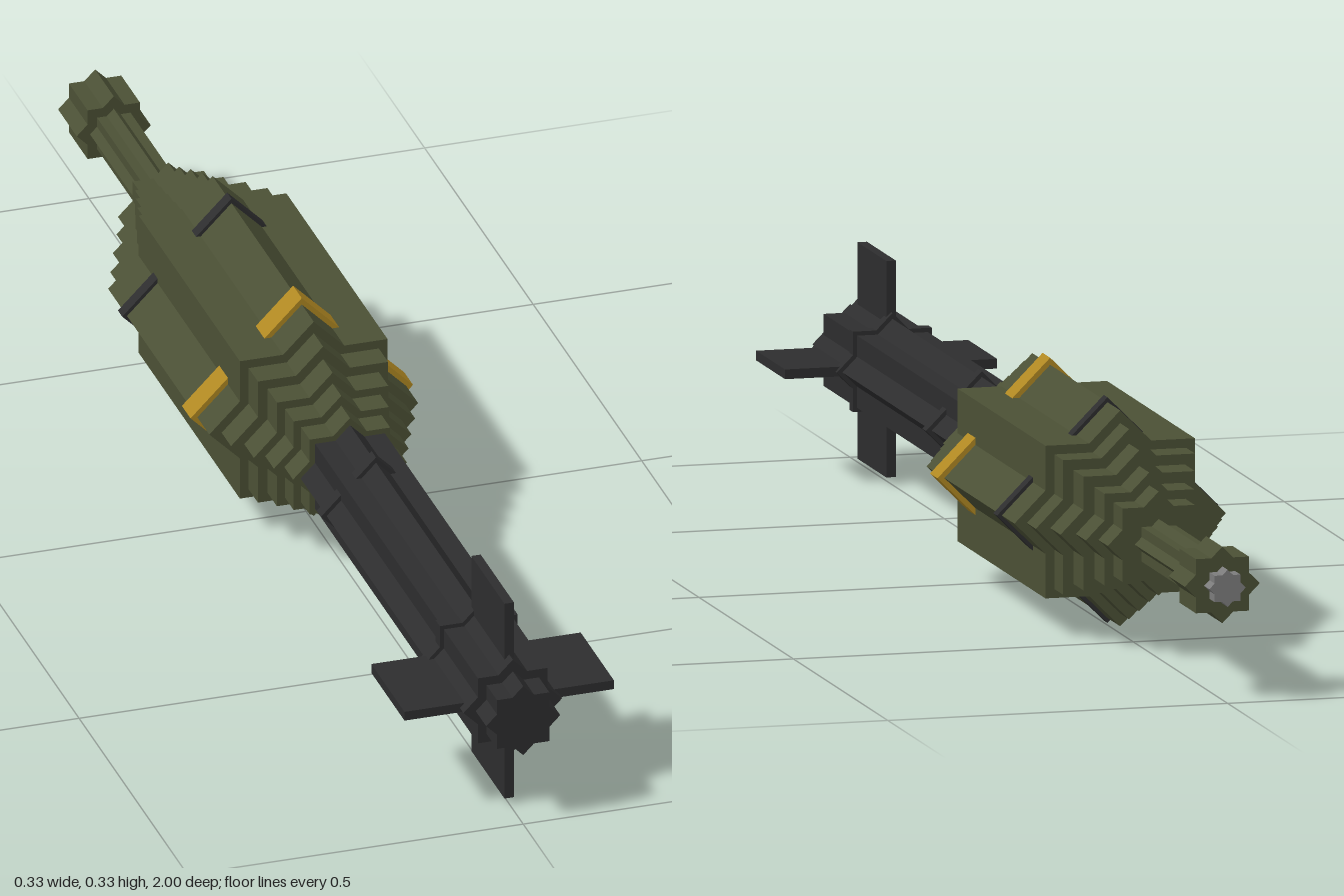
import * as THREE from 'three';

const CENTER_Y = 0.166;

const mat = (name, color) => {
  const m = new THREE.MeshStandardMaterial({ color });
  m.name = name;
  return m;
};

// Eight-pointed star prism: the outline of two squares crossed at 45 degrees
function starPrism(half, z0, z1) {
  const pts = [];
  for (let i = 0; i < 16; i++) {
    const r = i % 2 ? half / Math.cos(Math.PI / 8) : half * Math.SQRT2;
    const a = (i * Math.PI) / 8;
    pts.push(new THREE.Vector2(r * Math.cos(a), r * Math.sin(a)));
  }
  return new THREE.ExtrudeGeometry(new THREE.Shape(pts), { depth: z1 - z0, bevelEnabled: false })
    .translate(0, 0, z0);
}

// Square plate standing on its corner
function diamondPlate(half, z0, z1) {
  return new THREE.BoxGeometry(half * 2, half * 2, z1 - z0)
    .rotateZ(Math.PI / 4)
    .translate(0, 0, (z0 + z1) / 2);
}

export function createModel() {
  const olive = mat('olive', 0x4b5035);
  const charcoal = mat('charcoal', 0x2d2d2e);
  const gold = mat('gold', 0xb08822);
  const steel = mat('steel', 0x7c7c7c);

  const group = new THREE.Group();
  const add = (name, geometry, material) => {
    const mesh = new THREE.Mesh(geometry, material);
    mesh.name = name;
    mesh.position.y = CENTER_Y;
    group.add(mesh);
    return mesh;
  };

  // Stepped body, tapering at both ends: [half width, z start, z end]
  [
    [0.053, -0.635, -0.585],
    [0.066, -0.585, -0.532],
    [0.082, -0.532, -0.478],
    [0.097, -0.478, -0.431],
    [0.11, -0.431, 0.035],
    [0.097, 0.035, 0.078],
    [0.083, 0.078, 0.122],
    [0.071, 0.122, 0.162],
    [0.06, 0.162, 0.202],
  ].forEach(([h, z0, z1], i) => add(`bodyStep${i + 1}`, starPrism(h, z0, z1), olive));

  // Bands around the body
  add('goldBand', diamondPlate(0.1172, -0.06, -0.02), gold);
  add('darkBand', diamondPlate(0.115, -0.364, -0.344), charcoal);

  // Thin rod, nozzle and tip at the back
  add('rod', starPrism(0.025, -0.886, -0.635), olive);
  add('nozzle', starPrism(0.039, -0.972, -0.886), olive);
  add('tip', starPrism(0.019, -1, -0.972), steel);

  // Motor tube with rings and end cap at the front
  add('tube', starPrism(0.052, 0.202, 0.952), charcoal);
  add('tubeRing', diamondPlate(0.058, 0.302, 0.322), charcoal);
  add('finCollar', starPrism(0.058, 0.775, 0.795), charcoal);
  add('endCap', starPrism(0.039, 0.952, 1), charcoal);

  // Four fins
  for (let i = 0; i < 4; i++) {
    const fin = add(`fin${i + 1}`, new THREE.BoxGeometry(0.115, 0.014, 0.153).translate(0.0985, 0, 0.859), charcoal);
    fin.rotation.z = (i * Math.PI) / 2;
  }

  return group;
}
